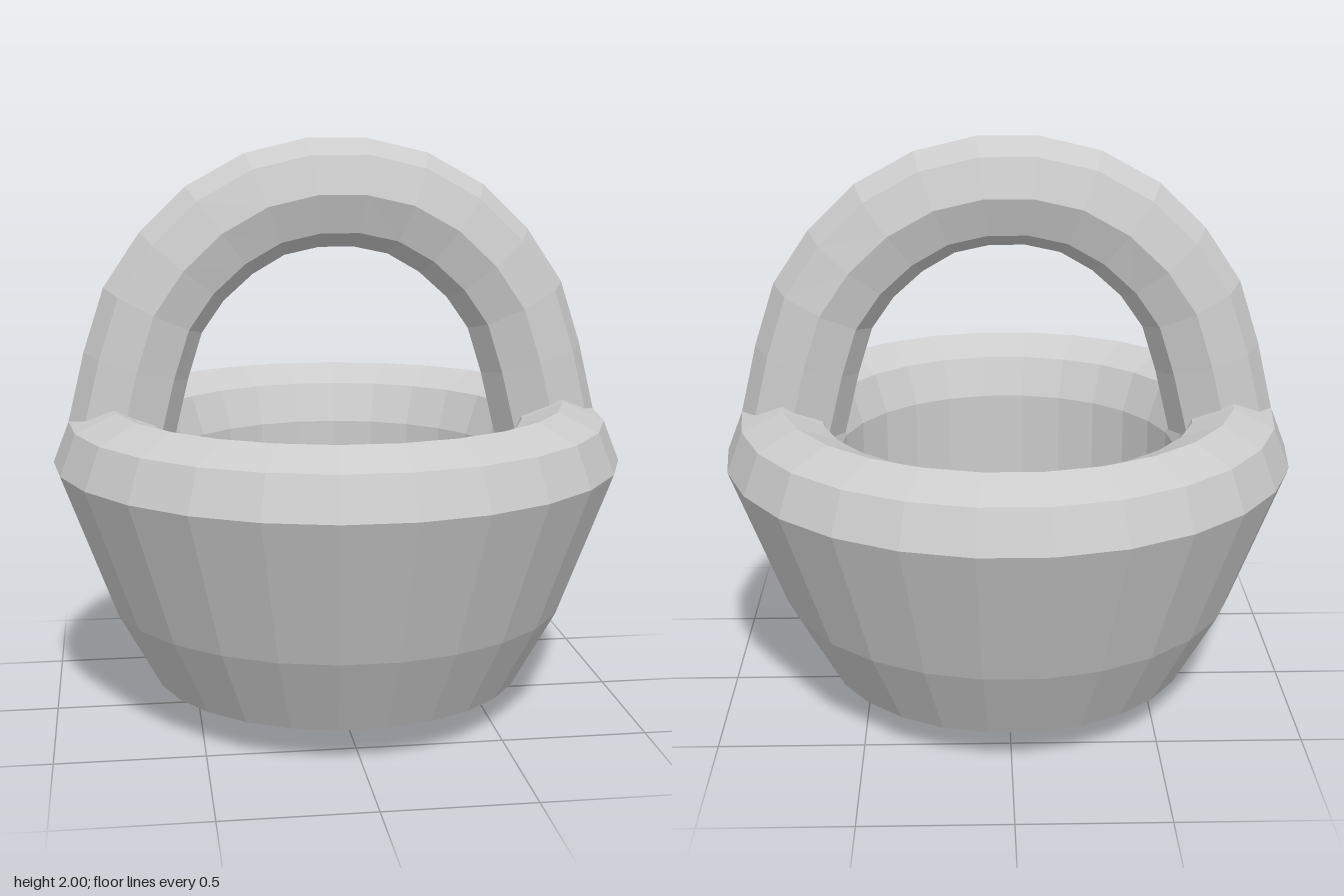
import * as THREE from 'three';

const material = new THREE.MeshStandardMaterial({ color: 0xcccccc, flatShading: true });

// Bowl: one closed profile from the underside, over the rolled rim, to the inner floor
function makeBowl() {
  const profile = [
    [0, 0], [0.3, 0], [0.65, 0.125], [0.8, 0.4], [0.985, 0.9],
    [0.93, 1.04], [0.79, 1.1], [0.65, 1.04], [0.595, 0.9],
    [0.595, 0.27], [0.3, 0.16], [0, 0.16],
  ].map(([r, y]) => new THREE.Vector2(r, y));
  const bowl = new THREE.Mesh(new THREE.LatheGeometry(profile, 26, Math.PI / 2), material);
  bowl.name = 'basketBowl';
  return bowl;
}

// Handle: octagonal sections swept between an outer and an inner arch
function makeHandle() {
  const SIDES = 8, HALF_DEPTH = 0.15;
  // outer x, outer y, inner x, inner y from the foot up to the crown
  const half = [
    [0.93, 1.04, 0.57, 0.96], [0.872, 1.28, 0.517, 1.18], [0.8, 1.5, 0.467, 1.34],
    [0.675, 1.685, 0.39, 1.45], [0.515, 1.84, 0.29, 1.54],
    [0.315, 1.95, 0.18, 1.604], [0.103, 2, 0.06, 1.63],
  ];
  const mirrored = half.map(([ox, oy, ix, iy]) => [-ox, oy, -ix, iy]).reverse();
  const sections = [...half, ...mirrored];

  const positions = [], index = [];
  for (const [ox, oy, ix, iy] of sections) {
    for (let j = 0; j < SIDES; j++) {
      const a = (j / SIDES) * Math.PI * 2, c = Math.cos(a);
      positions.push(
        (ox + ix) / 2 + (c * (ox - ix)) / 2,
        (oy + iy) / 2 + (c * (oy - iy)) / 2,
        HALF_DEPTH * Math.sin(a),
      );
    }
  }
  for (let i = 0; i < sections.length - 1; i++) {
    for (let j = 0; j < SIDES; j++) {
      const a = i * SIDES + j, b = i * SIDES + ((j + 1) % SIDES);
      index.push(a, a + SIDES, b, b, a + SIDES, b + SIDES);
    }
  }
  // Foot caps
  const last = (sections.length - 1) * SIDES;
  for (let j = 1; j < SIDES - 1; j++) {
    index.push(0, j, j + 1, last, last + j + 1, last + j);
  }

  const geometry = new THREE.BufferGeometry();
  geometry.setAttribute('position', new THREE.Float32BufferAttribute(positions, 3));
  geometry.setIndex(index);
  geometry.computeVertexNormals();
  const handle = new THREE.Mesh(geometry, material);
  handle.name = 'handle';
  return handle;
}

export function createModel() {
  const group = new THREE.Group();
  group.name = 'basket';
  group.add(makeBowl(), makeHandle());
  return group;
}
